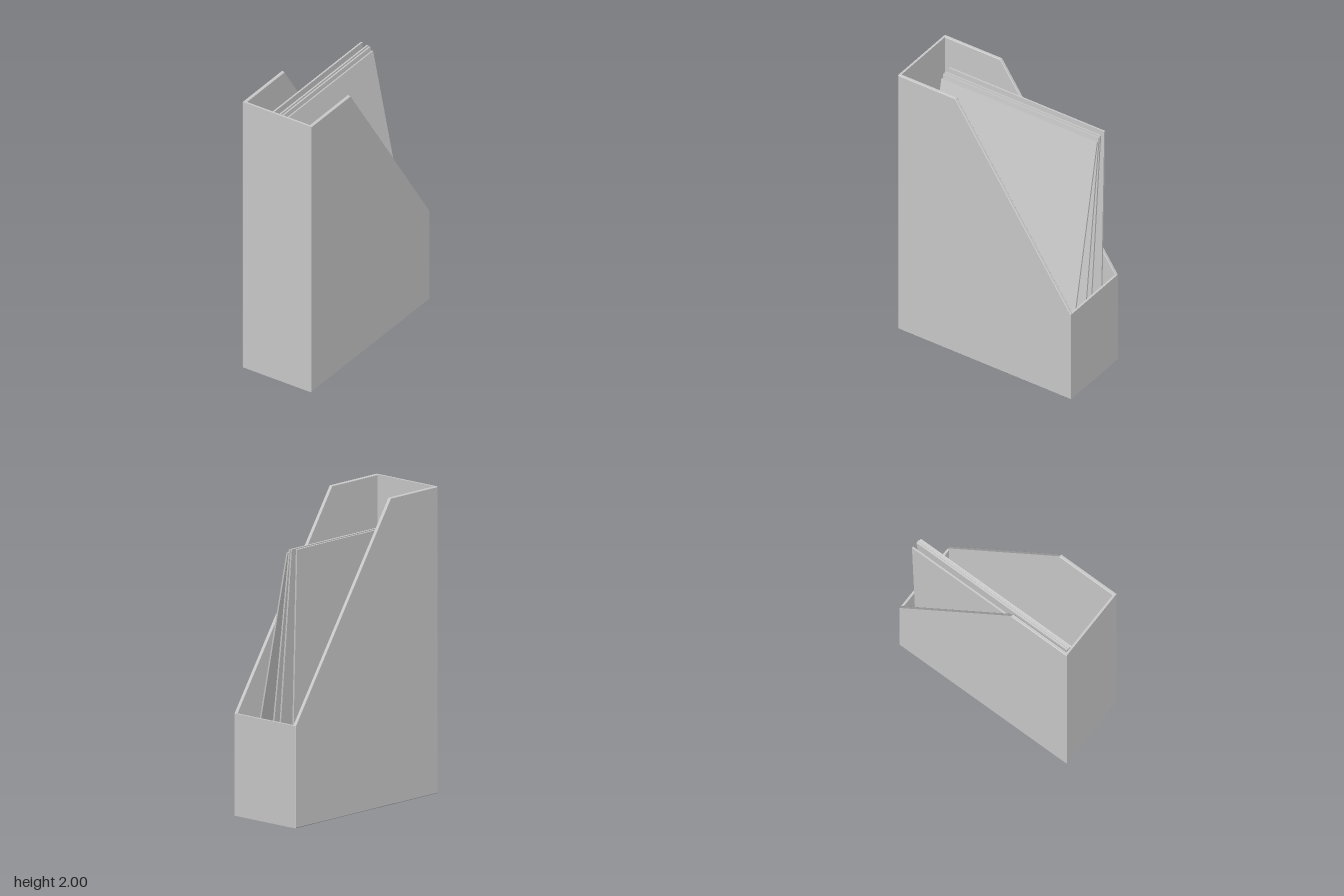
import * as THREE from 'three';

const W = 0.53, D = 1.334, H = 2, LOW = 0.667; // outer size and low end height
const SIDE = 0.024, END = 0.015, FLOOR = 0.02;
const material = new THREE.MeshStandardMaterial({ color: 0xcccccc });

function addMesh(parent, name, geometry, x, y, z) {
  const mesh = new THREE.Mesh(geometry, material);
  mesh.name = name;
  mesh.position.set(x, y, z);
  parent.add(mesh);
  return mesh;
}

// Side panel with the cut-away slope, drawn in (z, y) and centred on its thickness
function sidePanelGeometry() {
  const outline = new THREE.Shape([
    [-D / 2, 0], [D / 2, 0], [D / 2, H], [0.225, H], [-D / 2, LOW],
  ].map(([z, y]) => new THREE.Vector2(z, y)));
  const bevel = 0.004;
  const depth = SIDE - 2 * bevel;
  const geometry = new THREE.ExtrudeGeometry(outline, {
    depth, bevelEnabled: true, bevelThickness: bevel, bevelSize: bevel,
    bevelOffset: -bevel, bevelSegments: 1,
  });
  return geometry.translate(0, 0, -depth / 2).rotateY(-Math.PI / 2);
}

export function createModel() {
  const model = new THREE.Group();
  model.name = 'magazineFile';

  // Case: two sloped sides, tall end, low end and floor
  const holder = new THREE.Group();
  holder.name = 'case';
  model.add(holder);
  const side = sidePanelGeometry();
  addMesh(holder, 'leftSide', side, W / 2 - SIDE / 2, 0, 0);
  addMesh(holder, 'rightSide', side, -W / 2 + SIDE / 2, 0, 0);
  const inner = W - 2 * SIDE + 0.012;
  addMesh(holder, 'tallEnd', new THREE.BoxGeometry(inner, H, END), 0, H / 2, D / 2 - END / 2);
  addMesh(holder, 'lowEnd', new THREE.BoxGeometry(inner, LOW, END), 0, LOW / 2, -D / 2 + END / 2);
  addMesh(holder, 'floor', new THREE.BoxGeometry(inner, FLOOR, D - 2 * END), 0, FLOOR / 2, 0);

  // Folders: equal sheets pivoting on the floor and leaning towards the right side
  const folders = new THREE.Group();
  folders.name = 'folders';
  model.add(folders);
  const length = 1.78, thickness = 0.012;
  const sheet = new THREE.BoxGeometry(thickness, length, 1.2).translate(0, length / 2, 0);
  // [x at the floor, x at the top]
  const leans = [[0.228, -0.13], [0.06, -0.15], [-0.02, -0.166], [-0.165, -0.212]];
  leans.forEach(([bottom, top], i) => {
    const folder = addMesh(folders, `folder${i + 1}`, sheet, bottom, FLOOR, 0);
    folder.rotation.z = Math.asin((bottom - top) / length);
  });

  return model;
}
